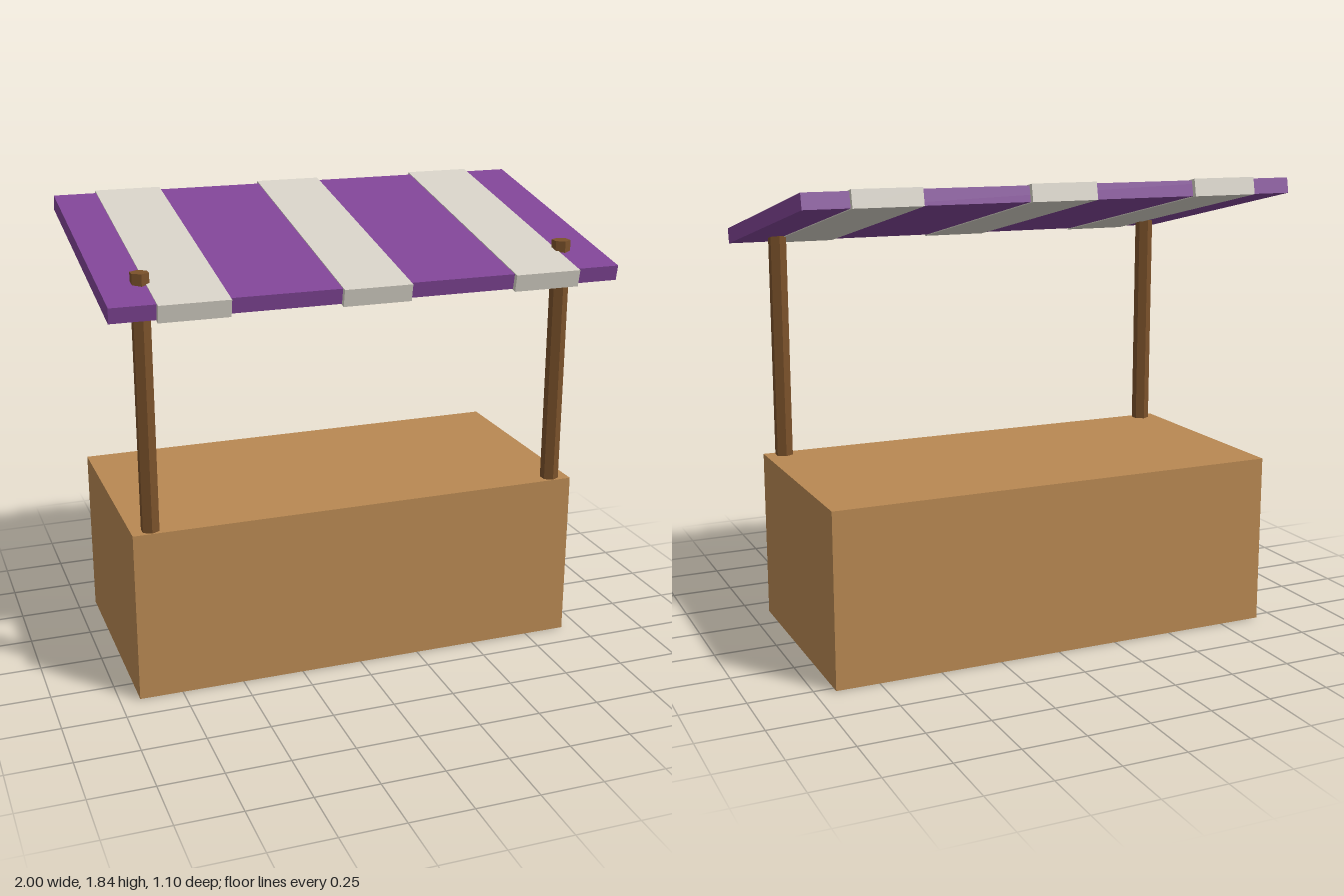
import * as THREE from 'three';

const material = (name, color) => {
  const m = new THREE.MeshStandardMaterial({ color, flatShading: true });
  m.name = name;
  return m;
};

export function createModel() {
  const stall = new THREE.Group();
  stall.name = 'marketStall';
  const wood = material('light wood', 0xb88852);
  const darkWood = material('dark wood', 0x7a512a);
  const purple = material('purple cloth', 0x804596);
  const cream = material('cream cloth', 0xd6d1c6);

  const add = (parent, name, geometry, mat, x, y, z) => {
    const mesh = new THREE.Mesh(geometry, mat);
    mesh.name = name;
    mesh.position.set(x, y, z);
    parent.add(mesh);
  };

  // Solid counter block
  add(stall, 'counter', new THREE.BoxGeometry(1.845, 0.69, 0.92), wood, 0, 0.347, -0.075);

  // Hexagonal posts, poking through the roof
  for (const [name, side] of [['leftPost', 1], ['rightPost', -1]]) {
    const bottom = side > 0 ? 0 : 0.005;
    const height = 1.693 - bottom;
    add(stall, name, new THREE.CylinderGeometry(0.037, 0.037, height, 6), darkWood,
      side * 0.846, bottom + height / 2, 0.345);
  }

  // Sloping awning, high at the back, with stripes wrapped around it
  const awning = new THREE.Group();
  awning.name = 'awning';
  awning.position.y = 1.695;
  awning.rotation.x = THREE.MathUtils.degToRad(11.6);
  stall.add(awning);
  add(awning, 'awningCloth', new THREE.BoxGeometry(2, 0.061, 1.07), purple, 0, 0, 0);
  [-0.694, -0.002, 0.69].forEach((x, i) =>
    add(awning, `awningStripe${i + 1}`, new THREE.BoxGeometry(0.268, 0.068, 1.11), cream, x, 0, 0));

  return stall;
}
